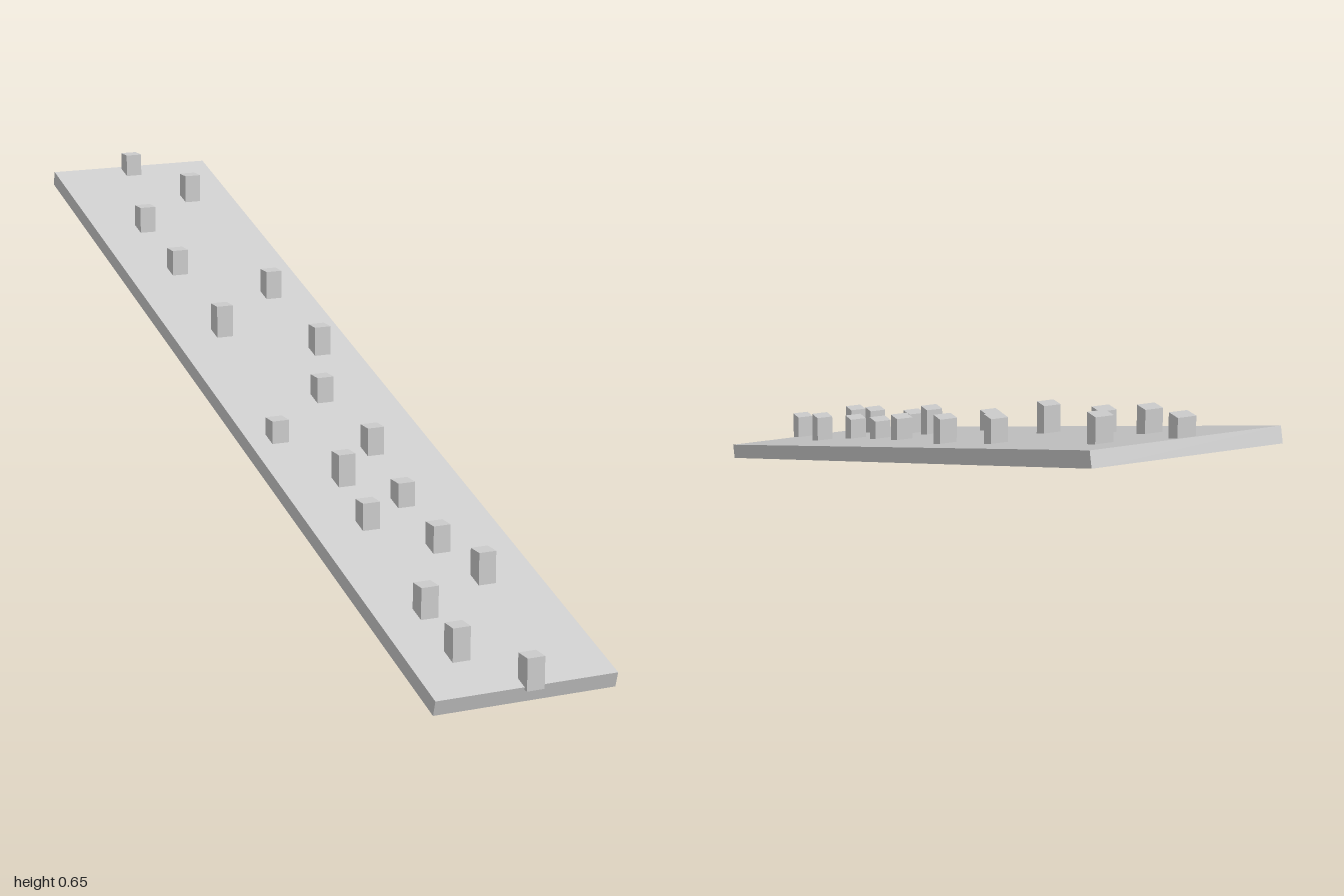
import * as THREE from 'three';

const FRONT_Z = 0.99, FRONT_Y = 0.03;   // upper front edge of the ramp
const BACK_Z = -0.992, BACK_Y = 0.62;   // upper back edge of the ramp
const THICKNESS = 0.031, WIDTH = 0.362, PEG = 0.035;
const SLOPE = (BACK_Y - FRONT_Y) / (FRONT_Z - BACK_Z);

export function createModel() {
  const model = new THREE.Group();
  model.name = 'pegRamp';
  const material = new THREE.MeshStandardMaterial({ color: 0xcccccc, flatShading: true });

  // Sloping board, its upper face running between the two edges
  const angle = Math.atan(SLOPE);
  const length = Math.hypot(BACK_Y - FRONT_Y, FRONT_Z - BACK_Z);
  const board = new THREE.Mesh(new THREE.BoxGeometry(WIDTH, THICKNESS, length), material);
  board.name = 'rampBoard';
  board.rotation.x = angle;
  board.position.set(
    0,
    (FRONT_Y + BACK_Y) / 2 - Math.cos(angle) * THICKNESS / 2,
    (FRONT_Z + BACK_Z) / 2 - Math.sin(angle) * THICKNESS / 2
  );
  model.add(board);

  // Upright square pegs: x, z, height of the top
  const pegs = [
    [-0.005, -0.965, 0.654], [0.083, -0.823, 0.624], [-0.07, -0.705, 0.585],
    [-0.069, -0.513, 0.526], [0.094, -0.381, 0.492], [-0.073, -0.25, 0.46],
    [0.102, -0.143, 0.422], [0.031, 0.03, 0.363], [-0.12, 0.152, 0.32],
    [0.05, 0.231, 0.307], [-0.053, 0.321, 0.288], [0.031, 0.411, 0.246],
    [-0.069, 0.467, 0.234], [0.031, 0.565, 0.205], [0.07, 0.676, 0.181],
    [-0.084, 0.75, 0.157], [-0.084, 0.879, 0.122], [0.011, 0.981, 0.086]
  ];
  pegs.forEach(([x, z, top], i) => {
    // Each foot sinks just below the board's surface
    const foot = FRONT_Y + (FRONT_Z - z) * SLOPE - 0.008;
    const peg = new THREE.Mesh(new THREE.BoxGeometry(PEG, top - foot, PEG), material);
    peg.name = `peg${i + 1}`;
    peg.position.set(x, (top + foot) / 2, z);
    model.add(peg);
  });

  return model;
}
